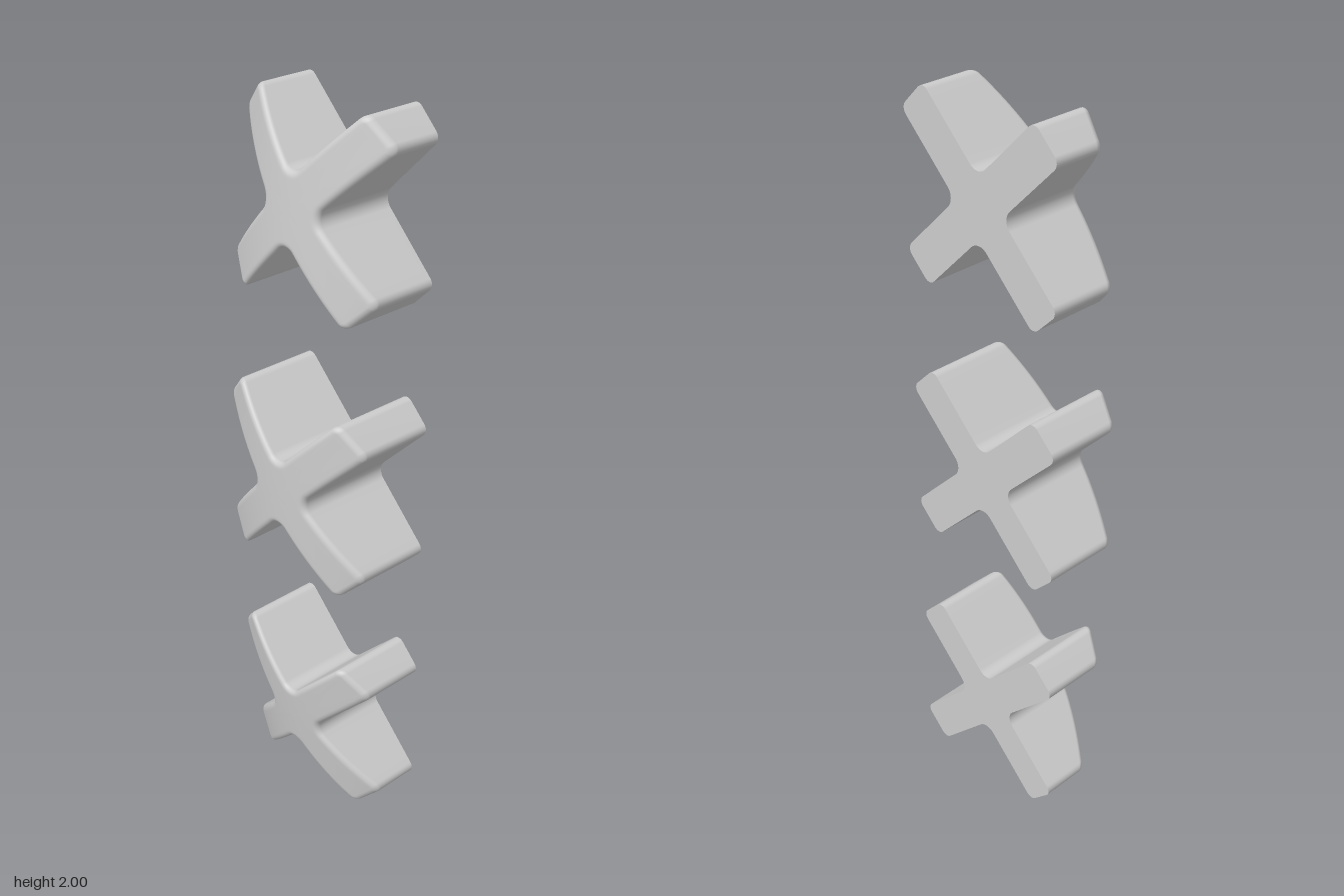
import * as THREE from 'three';

const W = 0.055, L = 0.308; // arm half width and length
const TIP = 0.022, CROTCH = 0.036, EDGE = 0.015; // rounding radii
const BACK = -0.143;

// Domed front shared by all three crosses, centred on y = 1
function domeZ(x, y) {
  const dy2 = (y - 1) ** 2;
  return 0.143 - 0.08 * dy2 - (1.05 + 0.2 * dy2) * x * x;
}

// Rounded X outline, counter-clockwise, as points with outward normals
function crossOutline() {
  const arm = [];
  const arc = (cx, cy, r, from, to, sign, n = 6) => {
    for (let i = 0; i <= n; i++) {
      const a = THREE.MathUtils.degToRad(from + (to - from) * i / n);
      const c = Math.cos(a), s = Math.sin(a);
      arm.push([cx + r * c, cy + r * s, sign * c, sign * s]);
    }
  };
  const side = (from, to, y, ny, n = 10) => {
    for (let i = 1; i < n; i++) arm.push([from + (to - from) * i / n, y, 0, ny]);
  };
  const k = W + CROTCH, tx = L - TIP, ty = W - TIP;
  arc(k, -k, CROTCH, 135, 90, -1);
  side(k, tx, -W, -1);
  arc(tx, -ty, TIP, -90, 0, 1);
  arc(tx, ty, TIP, 0, 90, 1);
  side(tx, k, W, 1);
  arc(k, k, CROTCH, 270, 225, -1);
  arm.pop(); // shared with the next arm

  const outline = [];
  for (let q = 0; q < 4; q++) {
    const a = Math.PI / 4 + q * Math.PI / 2, c = Math.cos(a), s = Math.sin(a);
    for (const [x, y, nx, ny] of arm) {
      outline.push({ x: x * c - y * s, y: x * s + y * c, nx: nx * c - ny * s, ny: nx * s + ny * c });
    }
  }
  return outline;
}

// Skin a list of rings; each ring is a list of [x, y, z]
function skin(rings) {
  const n = rings[0].length, index = [];
  for (let r = 0; r < rings.length - 1; r++) {
    for (let i = 0; i < n; i++) {
      const j = (i + 1) % n, a = r * n + i, b = r * n + j;
      index.push(a, b, b + n, a, b + n, a + n);
    }
  }
  const geo = new THREE.BufferGeometry();
  geo.setAttribute('position', new THREE.Float32BufferAttribute(rings.flat(2), 3));
  geo.setIndex(index);
  geo.computeVertexNormals();
  return geo;
}

function crossBody(outline, cy) {
  const rings = [outline.map(p => [p.x, p.y, BACK])];
  // Wall top and rounded front edge
  for (let i = 0; i <= 5; i++) {
    const t = i / 5 * Math.PI / 2, inset = EDGE * (1 - Math.cos(t));
    rings.push(outline.map(p => {
      const x = p.x - p.nx * inset, y = p.y - p.ny * inset;
      return [x, y, domeZ(x, y + cy) - EDGE * (1 - Math.sin(t))];
    }));
  }
  // Domed face, shrinking toward the centre
  const steps = 12;
  for (let i = 1; i <= steps; i++) {
    const s = Math.max(1 - i / steps, 0.002);
    rings.push(outline.map(p => {
      const x = (p.x - p.nx * EDGE) * s, y = (p.y - p.ny * EDGE) * s;
      return [x, y, domeZ(x, y + cy)];
    }));
  }
  // Close the tiny centre hole
  rings.push(outline.map(() => [0, 0, domeZ(0, cy)]));
  const geo = skin(rings);
  // Collapsed centre vertices take the dome's own normal
  const normal = geo.attributes.normal, n = outline.length;
  const v = new THREE.Vector3(0, 0.16 * (cy - 1), 1).normalize();
  for (let i = normal.count - 2 * n; i < normal.count; i++) normal.setXYZ(i, v.x, v.y, v.z);
  return geo;
}

export function createModel() {
  const model = new THREE.Group();
  const material = new THREE.MeshStandardMaterial({ color: 0xcccccc });
  const outline = crossOutline();
  const backGeo = new THREE.ShapeGeometry(new THREE.Shape(outline.map(p => new THREE.Vector2(p.x, p.y))));
  const half = 0.2475;

  for (const [name, cy] of [['lowerCross', half], ['middleCross', 1], ['upperCross', 2 - half]]) {
    const cross = new THREE.Group();
    cross.name = name;
    cross.position.y = cy;
    const body = new THREE.Mesh(crossBody(outline, cy), material);
    body.name = 'domedBody';
    // Flat back
    const back = new THREE.Mesh(backGeo, material);
    back.name = 'flatBack';
    back.rotation.y = Math.PI;
    back.position.z = BACK;
    cross.add(body, back);
    model.add(cross);
  }
  return model;
}
